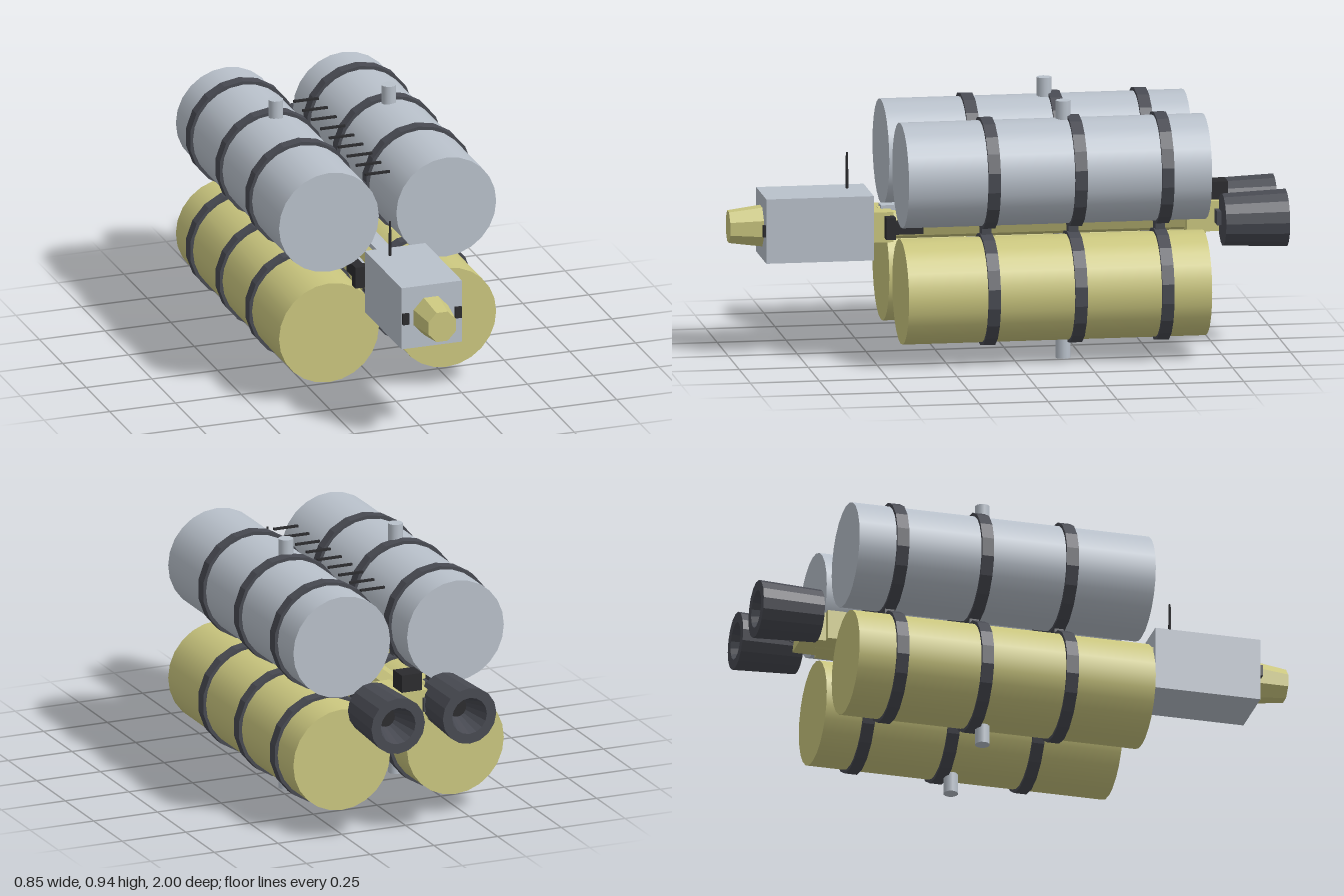
import * as THREE from 'three';

const mat = (name, color, extra = {}) => {
  const m = new THREE.MeshStandardMaterial({ color, ...extra });
  m.name = name;
  return m;
};

export function createModel() {
  const silver = mat('silver', 0xb9c1cb);
  const yellow = mat('paleYellow', 0xcbc77f);
  const dark = mat('darkGrey', 0x484a52);
  const black = mat('black', 0x2b2b2e);
  const root = new THREE.Group();
  root.name = 'spaceTug';

  const add = (name, geo, material, x = 0, y = 0, z = 0, parent = root) => {
    const m = new THREE.Mesh(geo, material);
    m.name = name;
    m.position.set(x, y, z);
    parent.add(m);
    return m;
  };
  const box = (name, material, w, h, d, x, y, z) =>
    add(name, new THREE.BoxGeometry(w, h, d), material, x, y, z);
  // cylinder along z; rFront faces +z
  const zCyl = (rFront, rBack, len, sides) =>
    new THREE.CylinderGeometry(rFront, rBack, len, sides).rotateX(Math.PI / 2);
  // closed ring profile swept around the z axis
  const zRing = (pts, sides) =>
    new THREE.LatheGeometry(pts.map(p => new THREE.Vector2(...p)), sides)
      .rotateX(Math.PI / 2).toNonIndexed();
  const flat = g => { g.computeVertexNormals(); return g; };
  const bandZ = [0.1, -0.215, -0.53];

  // Four tanks with straps and filler ports
  for (const side of [-1, 1]) {
    for (const top of [false, true]) {
      const x = side * 0.223, y = top ? 0.685 : 0.26;
      const tank = new THREE.Group();
      tank.name = (top ? 'upper' : 'lower') + (side > 0 ? 'LeftTank' : 'RightTank');
      tank.position.set(x, y, 0);
      root.add(tank);
      add('tankBody', zCyl(0.19, 0.19, 1.1, 24), top ? silver : yellow, 0, 0, -0.14, tank);
      for (const z of bandZ) {
        const w = 0.022;
        const band = flat(zRing([[0.186, -w], [0.203, -w], [0.203, w], [0.186, w], [0.186, -w]], 18));
        add('strap', band, dark, 0, 0, z, tank);
      }
      add('fillerPort', new THREE.CylinderGeometry(0.027, 0.027, 0.1, 12), silver,
        -side * 0.008, top ? 0.205 : -0.21, -0.18, tank);
    }
    // Strap links between upper and lower tanks
    for (const z of bandZ) box('strapLink', dark, 0.05, 0.05, 0.035, side * 0.21, 0.472, z);
  }
  for (const z of bandZ)
    for (const y of [0.26, 0.685]) box('strapBridge', dark, 0.06, 0.02, 0.035, 0, y, z);

  // Central spine
  const spine = flat(zCyl(0.06, 0.06, 1.2, 8).toNonIndexed());
  add('spine', spine, yellow, 0, 0.47, -0.14);
  box('spineCover', silver, 0.05, 0.035, 0.3, 0, 0.52, 0.3);
  for (const side of [-1, 1])
    add('spinePipe', zCyl(0.012, 0.012, 1.05, 8), silver, side * 0.07, 0.475, -0.13);
  box('frontCollar', yellow, 0.18, 0.11, 0.08, 0, 0.47, 0.455);
  box('rearCollar', yellow, 0.18, 0.11, 0.07, 0, 0.468, -0.685);
  box('rearBlock', yellow, 0.13, 0.11, 0.1, 0, 0.468, -0.76);
  box('rearSensor', black, 0.08, 0.07, 0.075, 0, 0.553, -0.77);

  // Rungs between the upper tanks
  for (let i = 0; i < 9; i++) box('rung', black, 0.095, 0.008, 0.01, 0, 0.805, -0.46 + i * 0.095);

  // Front cabin
  box('cabin', silver, 0.23, 0.235, 0.39, 0, 0.473, 0.685);
  const nose = zCyl(0.056, 0.071, 0.12, 8).rotateZ(Math.PI / 8).toNonIndexed();
  add('nose', flat(nose), yellow, -0.003, 0.472, 0.94).scale.y = 1.08;
  add('antenna', new THREE.CylinderGeometry(0.004, 0.006, 0.14, 6), black, -0.045, 0.652, 0.562);
  for (const side of [-1, 1]) {
    box('frontSensor', black, 0.025, 0.042, 0.02, side * 0.1, 0.472, 0.88);
    box('sideThruster', black, 0.045, 0.08, 0.035, side * 0.113, 0.472, 0.43);
    box('thrusterArm', black, 0.04, 0.045, 0.13, side * 0.1, 0.47, 0.375);
  }

  // Twin engines with hollow nozzles
  for (const side of [-1, 1]) {
    const x = side * 0.14;
    const bell = flat(zRing([[0, -1], [0, -1]].slice(2).concat(
      [[0.035, -0.89], [0.068, -1], [0.105, -1], [0.095, -0.77], [0, -0.77]]), 16));
    add('engine', bell, dark, x, 0.47, 0);
    add('engineThroat', new THREE.CircleGeometry(0.04, 16).rotateY(Math.PI), black, x, 0.47, -0.892);
    box('engineMount', dark, 0.08, 0.05, 0.07, side * 0.08, 0.47, -0.79);
  }
  return root;
}
